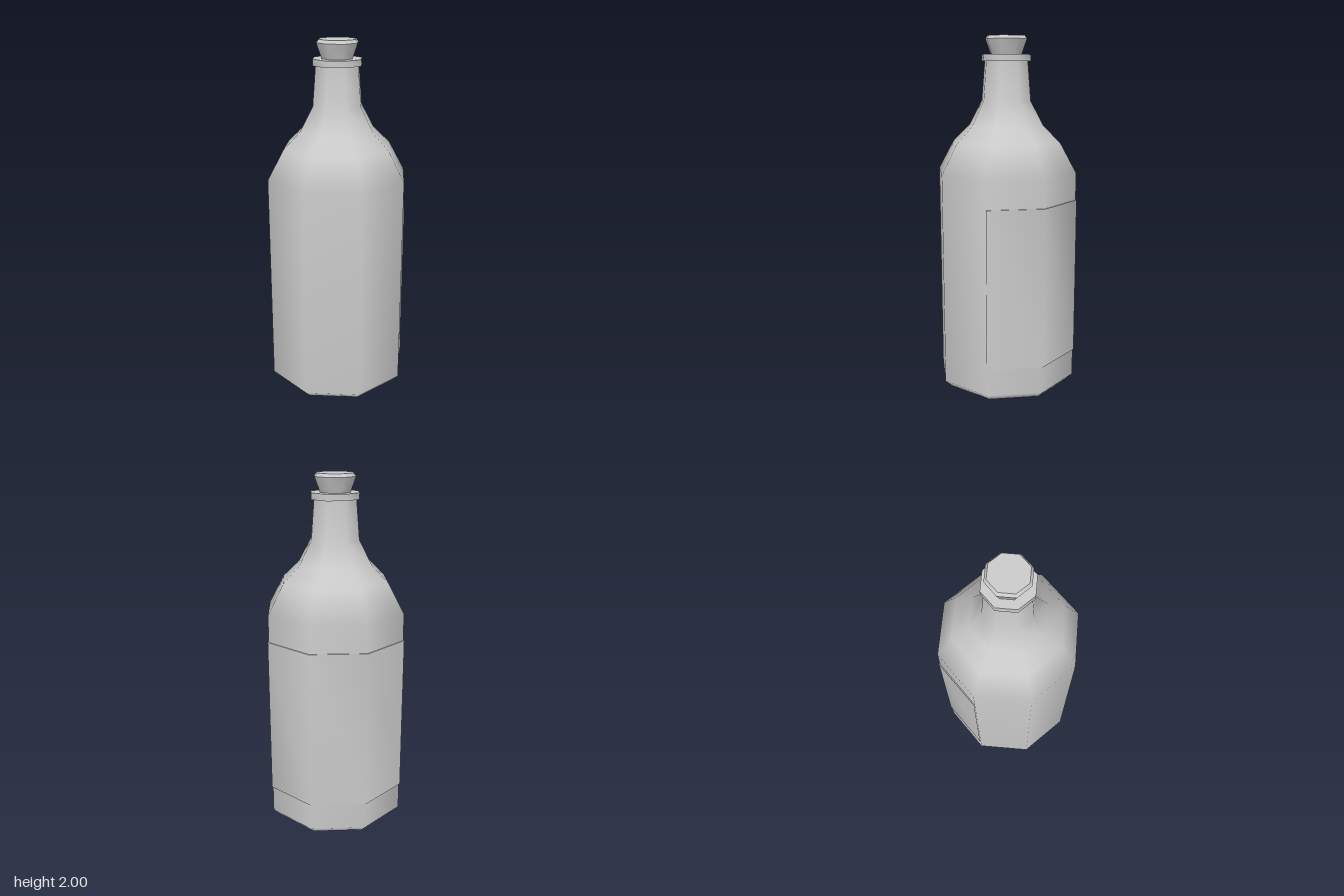
import * as THREE from 'three';
import { toCreasedNormals } from 'three/addons/utils/BufferGeometryUtils.js';

const SIDES = 8;

export function createModel() {
  const group = new THREE.Group();
  group.name = 'corkedBottle';
  const material = new THREE.MeshStandardMaterial({ color: 0xcccccc });
  const thin = new THREE.MeshStandardMaterial({ color: 0xcccccc, side: THREE.DoubleSide });

  // Turns a [radius, height] profile into an eight-sided part
  function turned(name, profile, { crease = true, start = 0, sweep = Math.PI * 2, mat = material } = {}) {
    const points = profile.map(([r, y]) => new THREE.Vector2(r, y));
    const segments = Math.round((SIDES * sweep) / (Math.PI * 2));
    let geometry = new THREE.LatheGeometry(points, segments, start, sweep);
    // 50 degrees keeps the octagon sides smooth and the rims sharp
    if (crease) geometry = toCreasedNormals(geometry, THREE.MathUtils.degToRad(50));
    const mesh = new THREE.Mesh(geometry, mat);
    mesh.name = name;
    group.add(mesh);
  }

  // Smooth body, shoulder and neck
  turned('bottle', [
    [0, 0], [0.362, 0.004], [0.405, 0.045], [0.405, 1.25], [0.313, 1.415],
    [0.215, 1.51], [0.142, 1.645], [0.124, 1.87],
  ], { crease: false });

  // Lip around the mouth
  turned('lip', [[0, 1.862], [0.141, 1.862], [0.141, 1.898], [0, 1.898]]);

  // Tapered stopper with a bevelled top
  turned('cork', [[0, 1.88], [0.083, 1.88], [0.12, 1.982], [0.107, 2], [0, 2]]);

  // Thin label wrapped around the back half
  turned('label', [[0.403, 0.2], [0.411, 0.2], [0.411, 1.097], [0.403, 1.097]],
    { start: Math.PI / 2, sweep: Math.PI, mat: thin });

  group.position.z = 0.002;
  return group;
}
